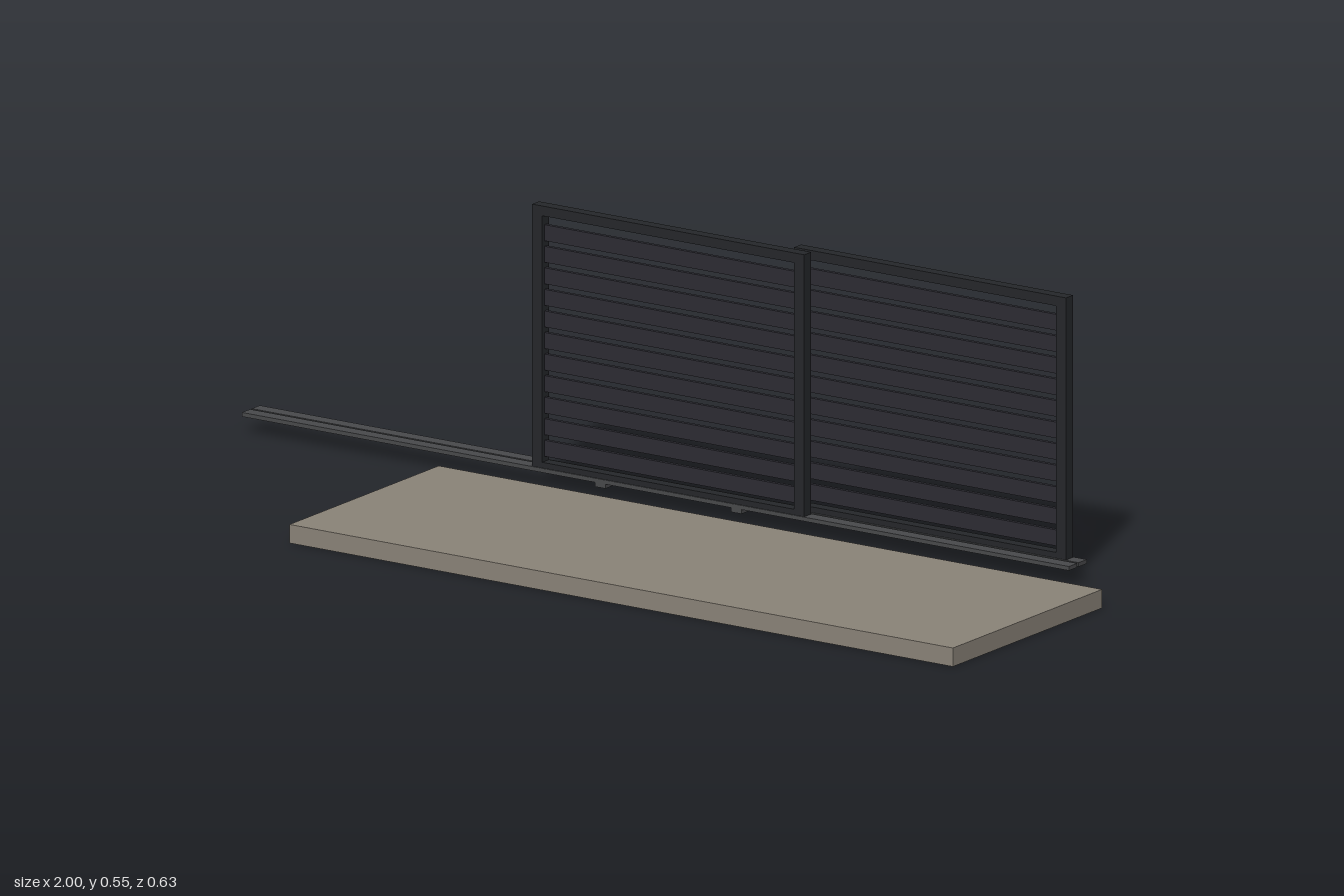
import * as THREE from 'three';

const mat = (color, side = THREE.FrontSide) => new THREE.MeshStandardMaterial({ color, side });

// Box given by its min and max along each axis
function box(name, material, [x0, x1], [y0, y1], [z0, z1]) {
  const mesh = new THREE.Mesh(new THREE.BoxGeometry(x1 - x0, y1 - y0, z1 - z0), material);
  mesh.position.set((x0 + x1) / 2, (y0 + y1) / 2, (z0 + z1) / 2);
  mesh.name = name;
  return mesh;
}

export function createModel() {
  const model = new THREE.Group();
  model.name = 'terraceWithSlidingScreens';
  const stone = mat(0x8a8378, THREE.DoubleSide);
  const frame = mat(0x25272a);
  const slatMat = mat(0x2d2c33);
  const metal = mat(0x48494b);

  // Slab: a thin shell, open underneath
  const slab = box('slab', stone, [-0.5, 1], [0, 0.036], [-0.175, 0.315]);
  const index = Array.from(slab.geometry.index.array);
  index.splice(18, 6); // drop the bottom face
  slab.geometry.setIndex(index);
  slab.geometry.clearGroups();
  model.add(slab);

  // One slatted sliding screen with its floor track and guides
  function screen(name, x0, x1, zc) {
    const group = new THREE.Group();
    group.name = name;
    const z = [zc - 0.0115, zc + 0.0115];
    const w = 0.0225, bottom = 0.04, top = 0.548;
    group.add(
      box('stileRight', frame, [x0, x0 + w], [bottom, top], z),
      box('stileLeft', frame, [x1 - w, x1], [bottom, top], z),
      box('topRail', frame, [x0 + w, x1 - w], [0.529, top], z),
      box('bottomRail', frame, [x0 + w, x1 - w], [bottom, 0.052], z)
    );

    // Horizontal slats
    const pitch = 0.0417;
    for (let i = 0; i < 11; i++) {
      const y = 0.062 + i * pitch;
      group.add(box('slat', slatMat, [x0 + w, x1 - w], [y, y + 0.031], [zc - 0.004, zc + 0.004]));
    }

    // Floor track
    group.add(box('track', metal, [-1, 0.87], [0.033, 0.041], [zc - 0.0135, zc + 0.0135]));

    // Guides under the track at the quarter points of the screen
    for (const t of [0.25, 0.75]) {
      const x = x0 + (x1 - x0) * t;
      group.add(box('guide', metal, [x - 0.012, x + 0.012], [0.024, 0.034], z));
    }
    model.add(group);
  }

  screen('frontScreen', -0.345, 0.27, -0.2685);
  screen('rearScreen', 0.225, 0.84, -0.3005);

  return model;
}
